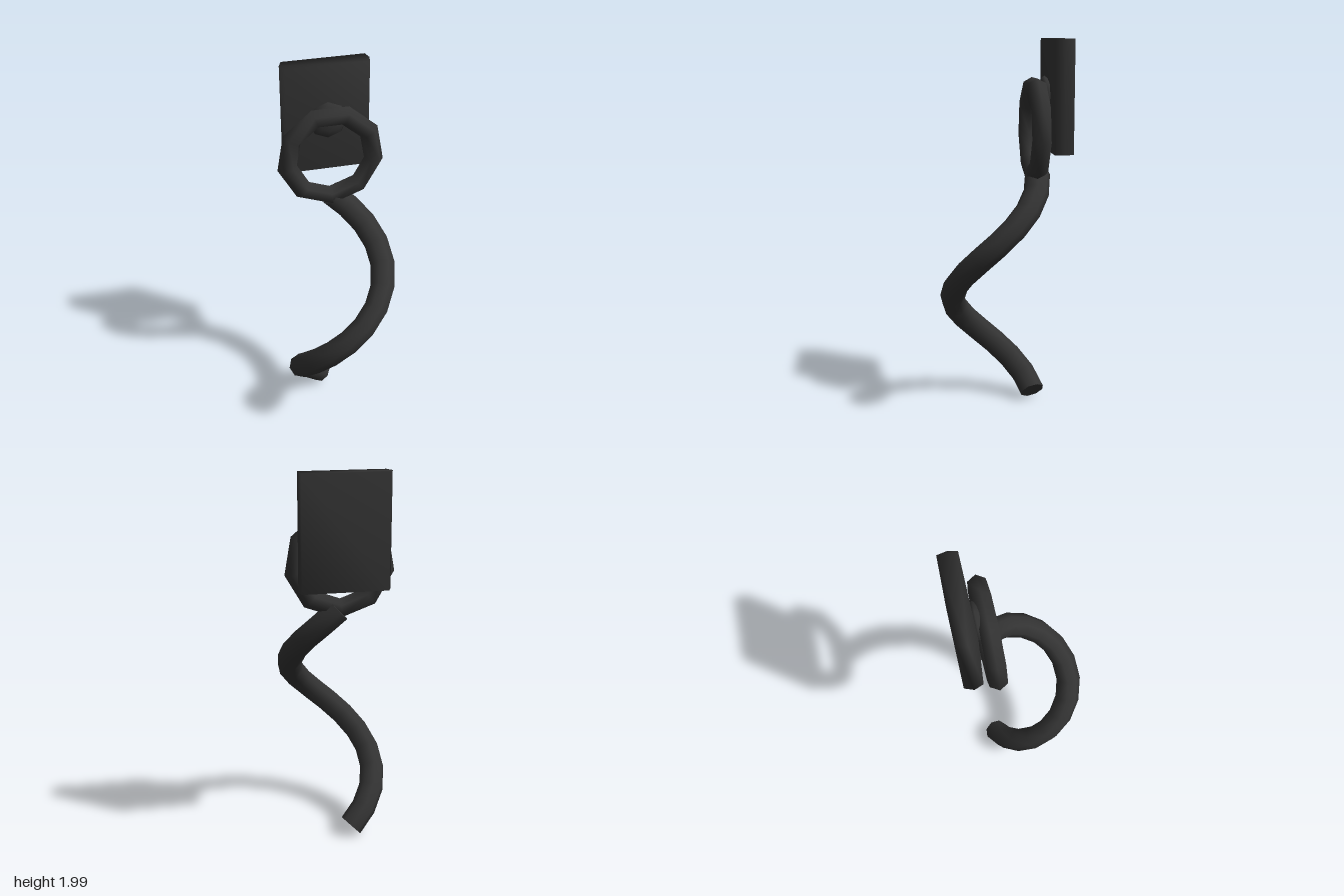
import * as THREE from 'three';
import { mergeVertices } from 'three/addons/utils/BufferGeometryUtils.js';

// Helical path winding once around a vertical axis
class Helix extends THREE.Curve {
  getPoint(t, target = new THREE.Vector3()) {
    const a = 0.04 + t * 5.96;
    return target.set(0.228 * Math.sin(a), 1.3 - a * 1.3 / (2 * Math.PI), 0.055 - 0.228 * Math.cos(a));
  }
}

// Weld corners so shading runs smoothly over the edges
function smooth(geometry) {
  geometry.deleteAttribute('normal');
  geometry.deleteAttribute('uv');
  const welded = mergeVertices(geometry, 1e-4);
  welded.computeVertexNormals();
  return welded;
}

export function createModel() {
  const group = new THREE.Group();
  const darkMetal = new THREE.MeshStandardMaterial({ color: 0x333333 });
  darkMetal.name = 'darkMetal';

  function add(name, geometry, x = 0, y = 0, z = 0) {
    const mesh = new THREE.Mesh(geometry, darkMetal);
    mesh.name = name;
    mesh.position.set(x, y, z);
    group.add(mesh);
    return mesh;
  }

  // Wall plate with pointed side edges, extruded upwards
  const outline = new THREE.Shape([
    [-0.232, 0], [-0.213, -0.049], [0.222, -0.049], [0.232, 0], [0.222, 0.049], [-0.213, 0.049],
  ].map(([x, y]) => new THREE.Vector2(x, y)));
  const plate = new THREE.ExtrudeGeometry(outline, { depth: 0.58, bevelEnabled: false });
  plate.rotateX(-Math.PI / 2);
  add('wallPlate', smooth(plate), 0, 1.42, -0.273);

  // Flattened boss between plate and ring
  const boss = new THREE.SphereGeometry(0.1, 8, 6);
  boss.rotateX(Math.PI / 2);
  boss.scale(1, 1, 0.36);
  add('boss', boss, 0, 1.71, -0.206);

  // Hanging ring
  const ring = new THREE.TorusGeometry(0.234, 0.052, 6, 9);
  ring.rotateZ(Math.PI / 6);
  add('ring', ring, 0, 1.53, -0.156);

  // Spiral rod with closed ends
  const path = new Helix();
  const radius = 0.067;
  add('spiralRod', new THREE.TubeGeometry(path, 15, radius, 8, false));
  for (const [t, sign] of [[0, -1], [1, 1]]) {
    const p = path.getPointAt(t);
    const frames = path.computeFrenetFrames(15, false);
    const i = t * 15;
    const cap = add('rodEnd', new THREE.CircleGeometry(radius, 8), p.x, p.y, p.z);
    const out = frames.tangents[i].clone().multiplyScalar(sign);
    const side = frames.normals[i];
    const up = new THREE.Vector3().crossVectors(out, side);
    cap.quaternion.setFromRotationMatrix(new THREE.Matrix4().makeBasis(side, up, out));
  }

  return group;
}
